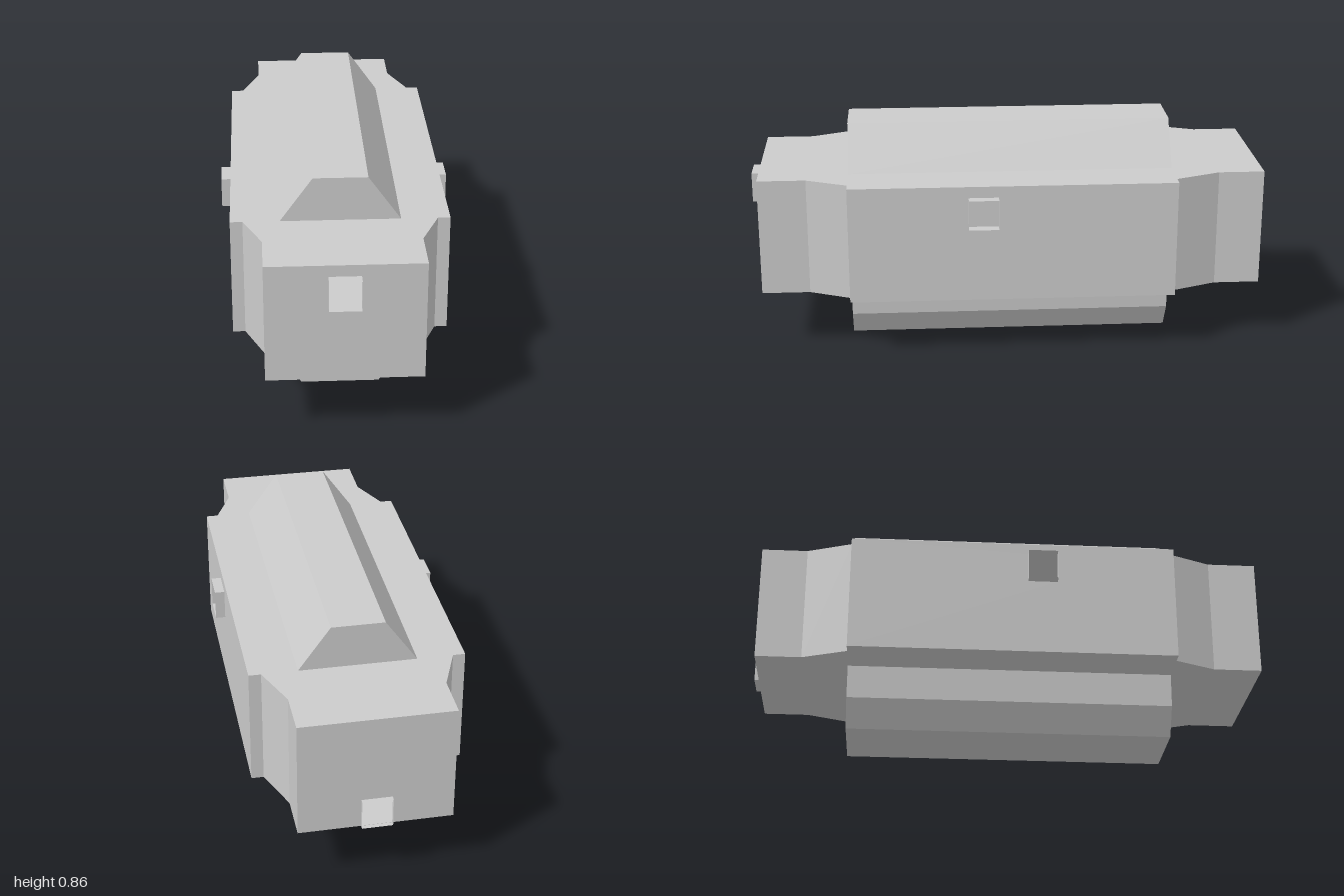
import * as THREE from 'three';

const material = new THREE.MeshStandardMaterial({ color: 0xcccccc, flatShading: true, side: THREE.DoubleSide });
const BOTTOM = 0.23, TOP = 0.687;
const BACK = -0.633, FRONT = 0.617; // ends of the wide middle section

function addMesh(parent, name, geometry) {
  const mesh = new THREE.Mesh(geometry, material);
  mesh.name = name;
  parent.add(mesh);
  return mesh;
}

// Openings in the hollow hull: centre, size, direction they face and collar depth
const openings = [
  { name: 'frontPort', at: [-0.002, 0.585, 0.96], size: [0.116, 0.116], facing: 0, depth: 0.04 },
  { name: 'leftPort', at: [0.4, 0.585, 0.105], size: [0.114, 0.116], facing: Math.PI / 2, depth: 0.037 },
  { name: 'rearPort', at: [-0.002, 0.288, -0.983], size: [0.114, 0.116], facing: Math.PI, depth: 0.017 },
  { name: 'rightPort', at: [-0.4, 0.585, 0.105], size: [0.114, 0.116], facing: -Math.PI / 2, depth: 0.037 },
];

// Upright wall panel from a to b (x, z), with an optional rectangular opening
function wallGeometry(a, b, opening) {
  const dir = new THREE.Vector3(b[0] - a[0], 0, b[1] - a[1]);
  const length = dir.length();
  dir.normalize();
  const shape = new THREE.Shape([[0, BOTTOM], [length, BOTTOM], [length, TOP], [0, TOP]].map(p => new THREE.Vector2(...p)));
  if (opening) {
    const [x, y, z] = opening.at;
    const u = (x - a[0]) * dir.x + (z - a[1]) * dir.z;
    const w = opening.size[0] / 2, h = opening.size[1] / 2;
    const low = Math.max(y - h, BOTTOM + 0.001);
    shape.holes.push(new THREE.Path([[u - w, low], [u - w, y + h], [u + w, y + h], [u + w, low]].map(p => new THREE.Vector2(...p))));
  }
  const up = new THREE.Vector3(0, 1, 0);
  const basis = new THREE.Matrix4().makeBasis(dir, up, dir.clone().cross(up));
  basis.setPosition(a[0], 0, a[1]);
  return new THREE.ShapeGeometry(shape).applyMatrix4(basis);
}

// Prism along z from a half profile of [x, y] points, mirrored in x
function prismGeometry(half) {
  const mirrored = half.map(([x, y]) => [-x, y]).reverse();
  const shape = new THREE.Shape([...half, ...mirrored].map(p => new THREE.Vector2(...p)));
  return new THREE.ExtrudeGeometry(shape, { depth: FRONT - BACK, bevelEnabled: false }).translate(0, 0, BACK);
}

export function createModel() {
  const model = new THREE.Group();
  model.name = 'module';

  // Hollow hull: wide middle, stepped and tapered to narrower ends
  const hull = new THREE.Group();
  hull.name = 'hull';
  model.add(hull);
  const side = [
    [0.285, 0.96], [0.285, 0.775], [0.354, FRONT], [0.4, FRONT],
    [0.4, BACK], [0.354, BACK], [0.285, -0.807], [0.285, -0.983],
  ];
  const outline = [...side, ...side.map(([x, z]) => [-x, z]).reverse()];
  const wallOpening = { 3: openings[1], 7: openings[2], 11: openings[3], 15: openings[0] };
  outline.forEach((a, i) => {
    addMesh(hull, 'hullWall', wallGeometry(a, outline[(i + 1) % outline.length], wallOpening[i]));
  });

  // Roof and floor plates
  const plan = new THREE.Shape(outline.map(([x, z]) => new THREE.Vector2(x, -z)));
  addMesh(hull, 'roof', new THREE.ShapeGeometry(plan).rotateX(-Math.PI / 2).translate(0, TOP, 0));
  const floorPlan = new THREE.Shape(outline.map(([x, z]) => new THREE.Vector2(x, z)));
  addMesh(hull, 'floor', new THREE.ShapeGeometry(floorPlan).rotateX(Math.PI / 2).translate(0, BOTTOM, 0));

  // Raised ridge above and keel below
  addMesh(model, 'upperRidge', prismGeometry([[0.22, TOP], [0.1, 0.855]]));
  addMesh(model, 'lowerKeel', prismGeometry([[0.147, 0], [0.213, 0.102], [0.22, BOTTOM]]));

  // Thin square collars around the openings
  for (const { name, at, size, facing, depth } of openings) {
    const collar = new THREE.CylinderGeometry(Math.SQRT1_2, Math.SQRT1_2, 1, 4, 1, true)
      .rotateY(Math.PI / 4)
      .rotateX(Math.PI / 2)
      .translate(0, 0, 0.5)
      .scale(size[0], size[1], depth);
    const mesh = addMesh(model, name, collar);
    mesh.position.set(...at);
    mesh.rotation.y = facing;
  }
  return model;
}
